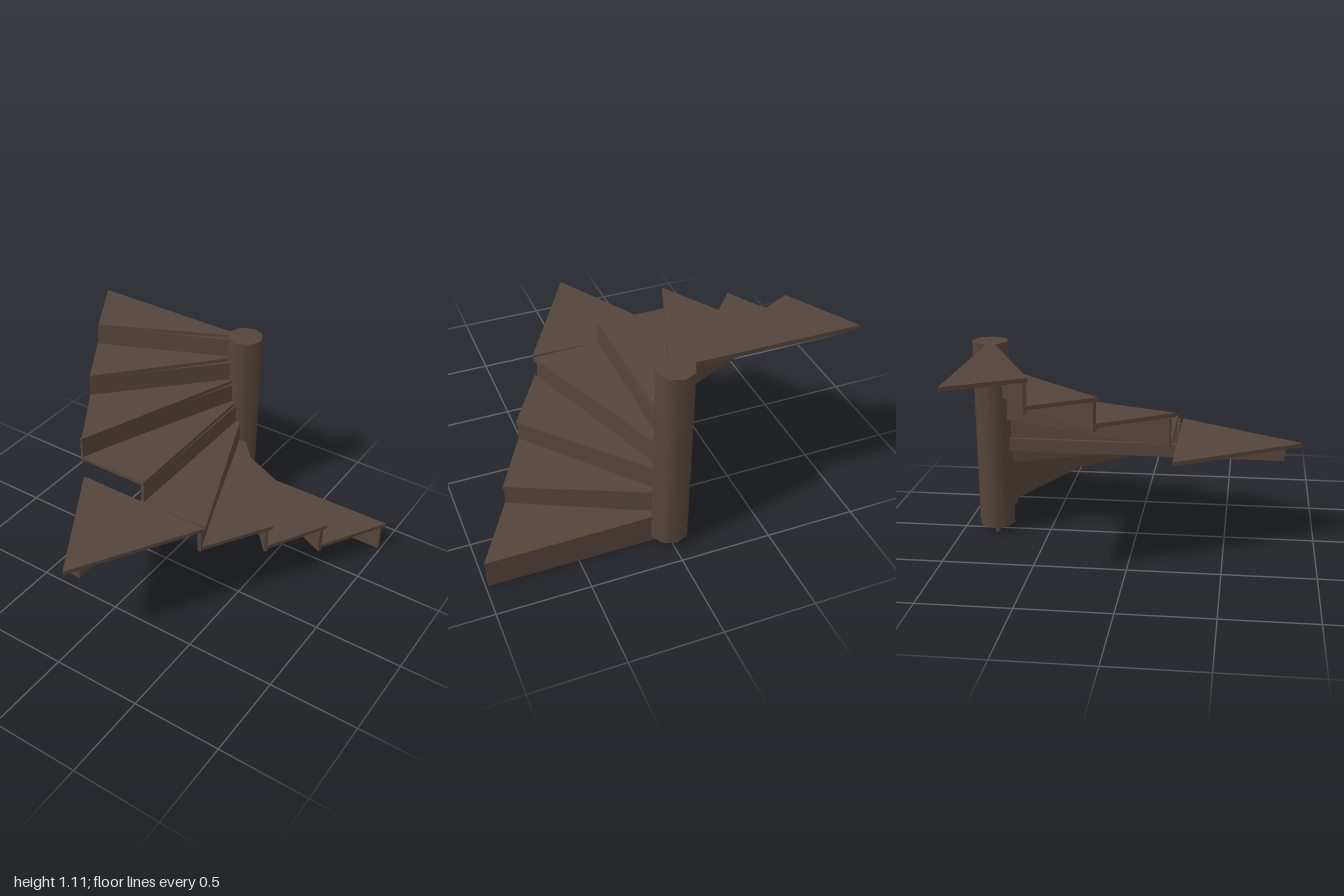
import * as THREE from 'three';

export function createModel() {
  const group = new THREE.Group();
  const wood = new THREE.MeshStandardMaterial({ color: 0x54453a });
  wood.name = 'darkWood';
  const hub = [-0.005, -0.81];
  const board = 0.022;

  const add = (name, geometry) => {
    const mesh = new THREE.Mesh(geometry, wood);
    mesh.name = name;
    group.add(mesh);
    return mesh;
  };

  // horizontal board from [x, z] corners, with its top at the given height
  const slab = (name, points, top) => {
    const shape = new THREE.Shape(points.map(([x, z]) => new THREE.Vector2(x, -z)));
    const geometry = new THREE.ExtrudeGeometry(shape, { depth: board, bevelEnabled: false });
    geometry.rotateX(-Math.PI / 2);
    add(name, geometry).position.y = top - board;
  };

  // upright board or beam between two [x, z] points
  const upright = (name, a, b, bottom, top, thickness) => {
    const dx = b[0] - a[0], dz = b[1] - a[1];
    const mesh = add(name, new THREE.BoxGeometry(Math.hypot(dx, dz), top - bottom, thickness));
    mesh.position.set((a[0] + b[0]) / 2, (bottom + top) / 2, (a[1] + b[1]) / 2);
    mesh.rotation.y = -Math.atan2(dz, dx);
  };

  // central octagonal post
  const post = new THREE.CylinderGeometry(0.102, 0.102, 1.07, 8);
  add('centralPost', post).position.set(hub[0], 0.575, hub[1]);

  // outer corners of each winder tread (nosing, back) and outer end of its riser
  const steps = [
    { nose: [1.0, -0.822], back: [0.775, -0.43], riser: [0.985, -0.80] },
    { nose: [0.79, -0.46], back: [0.6, -0.115], riser: [0.775, -0.43] },
    { nose: [0.615, -0.14], back: [0.39, 0.23], riser: [0.593, -0.112] },
    { nose: [0.4, 0.215], back: [0, 0.23], riser: [0.37, 0.225] },
    { nose: [0.01, 0.23], back: [-0.4, 0.23], riser: [0, 0.225] },
    { nose: [-0.39, 0.245], back: [-0.63, -0.14], riser: [-0.415, 0.22] },
    { nose: [-0.615, -0.125], back: [-0.805, -0.445], riser: [-0.625, -0.14] },
    { nose: [-0.785, -0.435], back: [-1.0, -0.812], riser: [-0.8, -0.45] },
  ];
  steps.forEach(({ nose, back, riser }, i) => {
    const top = 0.176 + i * 0.1336;
    slab(`tread${i + 1}`, [[0, -0.815], nose, back, [-0.01, -0.805]], top);
    // the lowest riser passes beneath the post
    const start = i === 0 ? [-0.065, -0.80] : [0, -0.8];
    upright(`riser${i + 1}`, start, riser, Math.max(0, top - 0.176), top - board, 0.02);
  });

  // pointed landing corner and the beam carrying it
  slab('landingCorner', [[0.4, 0.23], [0, 0.915], [-0.4, 0.23]], 0.5768);
  upright('landingBeam', [0, -0.72], [0, 0.82], 0.48, 0.5548, 0.06);

  return group;
}
